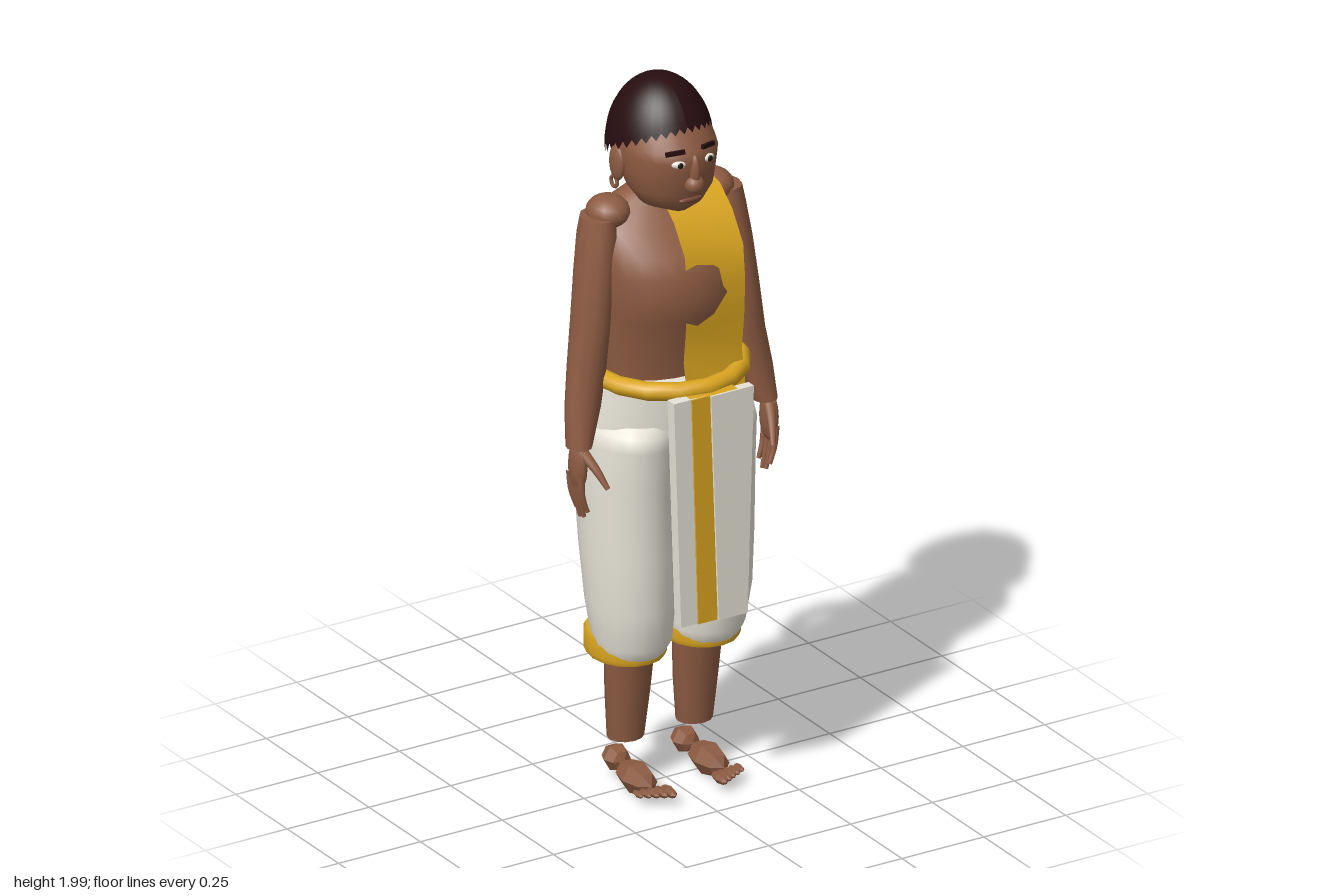
import * as THREE from 'three';

const mat = (name, color, side = THREE.FrontSide) => {
  const m = new THREE.MeshStandardMaterial({ color, side });
  m.name = name;
  return m;
};

export function createModel() {
  const skin = mat('skin', 0x8d5b42);
  const hairMat = mat('hair', 0x270d10, THREE.DoubleSide);
  const gold = mat('gold cloth', 0xdaa520, THREE.DoubleSide);
  const cloth = mat('white cloth', 0xe6e2d6);
  const eyeWhite = mat('eye white', 0xeeeae0);
  const dark = mat('pupil', 0x1c100c);
  const lip = mat('lips', 0x7a4a38);

  const model = new THREE.Group();
  model.name = 'standing man';
  const add = (name, geo, material, x = 0, y = 0, z = 0, parent = model) => {
    const m = new THREE.Mesh(geo, material);
    m.name = name;
    m.position.set(x, y, z);
    parent.add(m);
    return m;
  };

  // Stacked elliptical rings, bottom to top: [y, centre x, radius x, front z, back z]
  const loft = (rows, n = 16) => {
    const pos = [], idx = [];
    const ring = ([y, cx, rx, zf, zb]) => {
      for (let j = 0; j < n; j++) {
        const a = (j / n) * Math.PI * 2;
        pos.push(cx + rx * Math.sin(a), y, (zf + zb) / 2 + ((zf - zb) / 2) * Math.cos(a));
      }
    };
    rows.forEach(ring);
    for (let i = 0; i < rows.length - 1; i++) {
      for (let j = 0; j < n; j++) {
        const a = i * n + j, b = i * n + (j + 1) % n;
        idx.push(a, b, a + n, b, b + n, a + n);
      }
    }
    for (const top of [false, true]) {
      const start = pos.length / 3, r = top ? rows[rows.length - 1] : rows[0];
      ring(r);
      pos.push(r[1], r[0], (r[3] + r[4]) / 2);
      for (let j = 0; j < n; j++) {
        const a = start + j, b = start + (j + 1) % n;
        idx.push(start + n, top ? a : b, top ? b : a);
      }
    }
    const g = new THREE.BufferGeometry();
    g.setAttribute('position', new THREE.Float32BufferAttribute(pos, 3));
    g.setIndex(idx);
    g.computeVertexNormals();
    return g;
  };
  const ball = (rx, ry, rz, w = 16, h = 12) => new THREE.SphereGeometry(1, w, h).scale(rx, ry, rz);
  const facetedBall = (rx, ry, rz) => {
    const g = new THREE.SphereGeometry(1, 6, 4).rotateX(Math.PI / 2).scale(rx, ry, rz).toNonIndexed();
    g.computeVertexNormals();
    return g;
  };
  const limb = (points, r0, r1) => {
    const curve = new THREE.CatmullRomCurve3(points.map(p => new THREE.Vector3(...p)));
    const g = new THREE.TubeGeometry(curve, 6, 1, 8), p = g.attributes.position, v = new THREE.Vector3();
    for (let i = 0; i < p.count; i++) {
      const t = Math.floor(i / 9) / 6, c = curve.getPointAt(t);
      v.fromBufferAttribute(p, i).sub(c).multiplyScalar(r0 + (r1 - r0) * t).add(c);
      p.setXYZ(i, v.x, v.y, v.z);
    }
    return g;
  };

  // Torso and neck
  add('torso', loft([
    [1.13, 0, 0.18, 0.115, -0.14], [1.25, 0, 0.183, 0.125, -0.14], [1.37, 0, 0.192, 0.158, -0.142],
    [1.43, 0, 0.198, 0.175, -0.144], [1.5, 0, 0.2, 0.163, -0.146], [1.55, 0, 0.2, 0.138, -0.146],
    [1.61, 0, 0.192, 0.085, -0.143], [1.66, 0, 0.14, 0.04, -0.125], [1.69, 0, 0.08, 0.02, -0.1],
  ], 24), skin);
  add('neck', loft([[1.6, 0, 0.08, 0.03, -0.12], [1.72, 0, 0.075, 0.04, -0.11]]), skin);

  // Head
  add('head', loft([
    [1.655, 0, 0.035, 0.085, -0.03], [1.675, 0, 0.085, 0.108, -0.065], [1.72, 0, 0.115, 0.13, -0.1],
    [1.77, 0, 0.128, 0.138, -0.14], [1.815, 0, 0.132, 0.148, -0.16], [1.84, 0, 0.129, 0.136, -0.165],
    [1.89, 0, 0.115, 0.104, -0.155], [1.94, 0, 0.085, 0.06, -0.12], [1.98, 0, 0.03, 0.0, -0.06],
  ], 24), skin);
  add('nose', ball(0.027, 0.026, 0.026), skin, 0, 1.75, 0.138);
  add('noseBridge', ball(0.014, 0.045, 0.018), skin, 0, 1.79, 0.14);
  add('lips', ball(0.035, 0.009, 0.01), lip, 0, 1.7, 0.118);

  // Hair: ellipsoid cap cut by a plane that slopes down toward the back
  const hair = new THREE.SphereGeometry(1, 32, 14);
  const hp = hair.attributes.position, huv = hair.attributes.uv;
  for (let i = 0; i < hp.count; i++) {
    const phi = huv.getX(i) * Math.PI * 2, B = -0.0775 * Math.cos(phi);
    const rim = Math.acos(0.015 / Math.hypot(0.2, B)) + Math.atan2(B, 0.2);
    const t = (1 - huv.getY(i)) * rim;
    hp.setXYZ(i, 0.138 * Math.sin(t) * Math.sin(phi), 1.8 + 0.2 * Math.cos(t),
      -0.03 + 0.156 * Math.sin(t) * Math.cos(phi));
  }
  hair.computeVertexNormals();
  add('hair', hair, hairMat);

  for (const s of [1, -1]) {
    const side = s > 0 ? 'left' : 'right';

    // Face details and ears
    add(side + 'Eye', ball(0.019, 0.01, 0.008), eyeWhite, s * 0.046, 1.815, 0.135).rotation.y = s * 0.35;
    add(side + 'Pupil', ball(0.008, 0.008, 0.004), dark, s * 0.045, 1.815, 0.143);
    const brow = add(side + 'Eyebrow', new THREE.BoxGeometry(0.052, 0.011, 0.009), hairMat, s * 0.05, 1.845, 0.125);
    brow.rotation.set(0, s * 0.4, -s * 0.12);
    add(side + 'Ear', ball(0.014, 0.05, 0.032), skin, s * 0.132, 1.78, -0.028);
    add(side + 'EarLoop', new THREE.TorusGeometry(0.015, 0.005, 6, 12).rotateY(Math.PI / 2), skin, s * 0.133, 1.722, -0.04);

    // Shoulder and arm
    add(side + 'Shoulder', ball(0.058, 0.045, 0.062), skin, s * 0.158, 1.648, -0.03);
    add(side + 'Arm', loft([
      [1.03, s * 0.283, 0.034, 0.065, -0.01], [1.13, s * 0.262, 0.05, 0.052, -0.028],
      [1.235, s * 0.242, 0.053, 0.048, -0.05], [1.37, s * 0.226, 0.05, 0.055, -0.068],
      [1.5, s * 0.21, 0.05, 0.05, -0.08], [1.6, s * 0.195, 0.05, 0.04, -0.088], [1.645, s * 0.192, 0.045, 0.03, -0.08],
    ], 12), skin);

    // Hand
    add(side + 'Palm', ball(0.02, 0.07, 0.038, 10, 8), skin, s * 0.292, 0.98, 0.036);
    for (let f = 0; f < 4; f++) {
      const z = 0.006 + f * 0.018, end = [0.85, 0.83, 0.835, 0.855][f];
      add(side + 'Finger', limb([[s * 0.297, 0.96, z], [s * 0.293, 0.9, z], [s * 0.278, end, z + 0.002]], 0.011, 0.006), skin);
    }
    add(side + 'Thumb', limb([[s * 0.285, 1.02, 0.05], [s * 0.268, 0.98, 0.09], [s * 0.252, 0.935, 0.12]], 0.016, 0.007), skin);

    // Trouser leg and cuff
    add(side + 'TrouserLeg', loft([
      [0.405, s * 0.112, 0.085, 0.1, -0.07], [0.44, s * 0.112, 0.103, 0.122, -0.1],
      [0.55, s * 0.117, 0.114, 0.14, -0.118], [0.7, s * 0.121, 0.119, 0.142, -0.138],
      [0.9, s * 0.123, 0.123, 0.145, -0.163], [1.02, s * 0.122, 0.124, 0.158, -0.178],
      [1.06, s * 0.12, 0.114, 0.157, -0.175], [1.08, s * 0.115, 0.09, 0.13, -0.15],
    ], 20), cloth);
    add(side + 'Cuff', loft([
      [0.39, s * 0.113, 0.1, 0.095, -0.128], [0.405, s * 0.113, 0.107, 0.1, -0.135],
      [0.45, s * 0.113, 0.107, 0.1, -0.135], [0.463, s * 0.113, 0.1, 0.095, -0.128],
    ]), gold);

    // Shin and foot
    add(side + 'Shin', loft([
      [0.14, s * 0.105, 0.05, 0.015, -0.075], [0.27, s * 0.104, 0.06, 0.035, -0.08], [0.42, s * 0.104, 0.067, 0.058, -0.08],
    ], 12), skin);
    add(side + 'Foot', facetedBall(0.044, 0.045, 0.074), skin, s * 0.11, 0.045, 0.032);
    add(side + 'Heel', facetedBall(0.038, 0.038, 0.04), skin, s * 0.105, 0.06, -0.075);
    for (let t = 0; t < 5; t++) {
      const size = 0.015 - t * 0.0015;
      add(side + 'Toe', facetedBall(size, size, 0.035 - t * 0.003), skin,
        s * (0.078 + t * 0.019), 0.038, 0.138 - t * 0.007);
    }
  }

  // Waist of the trousers and the rolled belt
  add('waist', loft([
    [0.99, 0, 0.232, 0.14, -0.16], [1.07, 0, 0.23, 0.152, -0.166], [1.2, 0, 0.214, 0.15, -0.166],
  ], 24), cloth);
  add('belt', new THREE.TorusGeometry(0.205, 0.025, 10, 16).rotateX(Math.PI / 2).scale(0.98, 1, 1.026), gold, 0, 1.195, -0.011);

  // Sash over the left shoulder: a ribbon following [y, z] points
  const path = [
    [1.03, 0.163], [1.15, 0.16], [1.25, 0.142], [1.35, 0.153], [1.45, 0.158], [1.55, 0.148], [1.63, 0.095],
    [1.68, 0.035], [1.698, -0.05], [1.67, -0.13], [1.6, -0.152], [1.25, -0.155], [1.18, -0.178], [1.08, -0.19],
  ];
  const sash = new THREE.PlaneGeometry(1, 1, 1, path.length - 1);
  path.forEach(([y, z], i) => {
    sash.attributes.position.setXYZ(i * 2, -0.035, y, z);
    sash.attributes.position.setXYZ(i * 2 + 1, 0.143, y, z);
  });
  sash.computeVertexNormals();
  add('sash', sash, gold);

  // Overlapping front panels: top and bottom x ranges, then depth range
  const panel = (name, material, t0, t1, b0, b1, z0, z1) => {
    const shape = new THREE.Shape([[t0, 1.19], [b0, 0.547], [b1, 0.547], [t1, 1.19]].map(p => new THREE.Vector2(...p)));
    add(name, new THREE.ExtrudeGeometry(shape, { depth: z1 - z0, bevelEnabled: false }), material, 0, 0, z0);
  };
  panel('rightFrontPanel', cloth, -0.122, 0.02, -0.1, 0.03, 0.202, 0.234);
  panel('goldFrontPanel', gold, -0.07, 0.07, -0.05, 0.06, 0.205, 0.239);
  panel('leftFrontPanel', cloth, -0.015, 0.115, 0.008, 0.096, 0.219, 0.245);

  return model;
}
